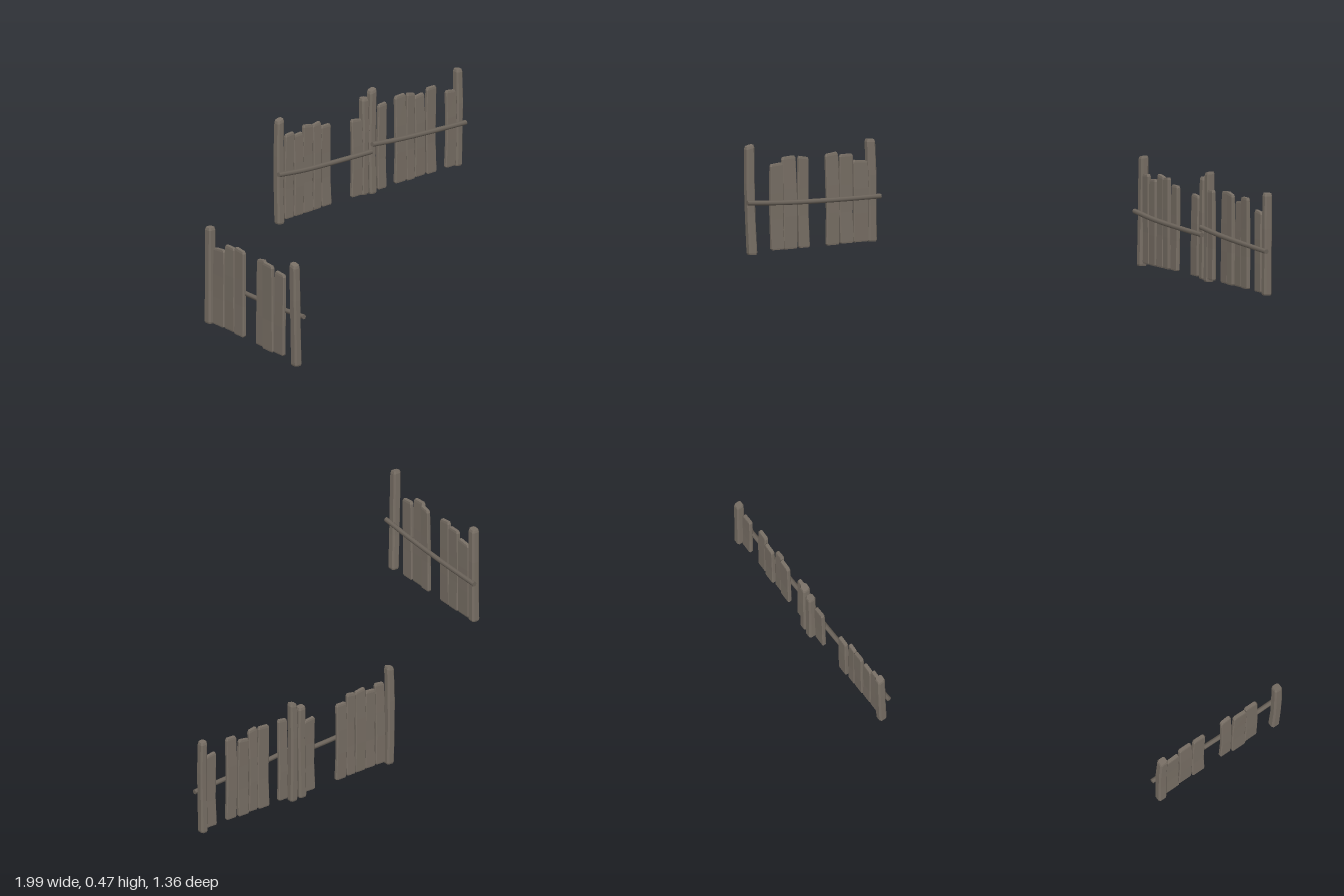
import * as THREE from 'three';

const wood = new THREE.MeshStandardMaterial({ color: 0x786f65 });
wood.name = 'weathered wood';
const railWood = new THREE.MeshStandardMaterial({ color: 0x6c645b });
railWood.name = 'rail wood';

// Upright timber with softened corners, worn ends and a slight warp.
// Spans a..b along the fence and y0..y1 in height; lean = [along, depth] shift at the top.
function timber(name, [a, b, y0, y1, depth, lean = [0, 0]], thick, seed) {
  const w = (b - a) / 2, t = thick / 2, h = y1 - y0, c = Math.min(w, t) * 0.4;
  const outline = [[-w, -t + c], [-w + c, -t], [w - c, -t], [w, -t + c],
    [w, t - c], [w - c, t], [-w + c, t], [-w, t - c]];
  const levels = [[0, 0.9], [0.015, 1], [0.35, 0.97], [0.65, 1], [0.975, 0.96], [1, 0.8]];
  const pos = [], idx = [], n = outline.length;
  levels.forEach(([f, s], k) => {
    const bend = 0.0015 * Math.sin(seed * 2.3 + f * 5);
    outline.forEach(([x, z]) => {
      const slant = k >= 4 ? (x / w) * 0.004 * Math.sin(seed * 1.7) - 0.002 : 0;
      pos.push((a + b) / 2 + x * s + bend + lean[0] * f, y0 + h * f + slant,
        depth + z * s + bend + lean[1] * f);
    });
  });
  for (let k = 0; k < levels.length - 1; k++) {
    for (let i = 0; i < n; i++) {
      const p = k * n + i, q = k * n + (i + 1) % n;
      idx.push(p, p + n, q, q, p + n, q + n);
    }
  }
  const last = (levels.length - 1) * n;
  for (let i = 1; i < n - 1; i++) {
    idx.push(0, i, i + 1, last, last + i + 1, last + i);
  }
  let g = new THREE.BufferGeometry();
  g.setAttribute('position', new THREE.Float32BufferAttribute(pos, 3));
  g.setIndex(idx);
  g = g.toNonIndexed();
  g.computeVertexNormals();
  const mesh = new THREE.Mesh(g, wood);
  mesh.name = name;
  return mesh;
}

// Thin crooked pole through the given points
function rail(points) {
  const curve = new THREE.CatmullRomCurve3(points.map(p => new THREE.Vector3(...p)));
  const group = new THREE.Group();
  group.name = 'rail';
  const radius = 0.0105;
  const pole = new THREE.Mesh(new THREE.TubeGeometry(curve, 12, radius, 7), railWood);
  pole.name = 'railPole';
  group.add(pole);
  // End caps
  [0, 1].forEach(t => {
    const cap = new THREE.Mesh(new THREE.CircleGeometry(radius, 7), railWood);
    cap.name = 'railEnd';
    cap.position.copy(curve.getPoint(t));
    const dir = curve.getTangent(t).multiplyScalar(t ? 1 : -1);
    cap.quaternion.setFromUnitVectors(new THREE.Vector3(0, 0, 1), dir);
    group.add(cap);
  });
  return group;
}

function fence(name, posts, planks, railPoints) {
  const group = new THREE.Group();
  group.name = name;
  posts.forEach((p, i) => group.add(timber('post', p, 0.036, i + 1)));
  planks.forEach((p, i) => group.add(timber('plank', p, 0.018, i * 1.3 + 4)));
  group.add(rail(railPoints));
  return group;
}

export function createModel() {
  const model = new THREE.Group();
  model.name = 'brokenFence';

  // Back run, first section
  model.add(fence('backFenceInner', [
    [-0.016, 0.02, 0.0, 0.457, -0.64, [0.003, -0.006]],
    [0.449, 0.485, 0.005, 0.43, -0.66, [0.003, -0.002]],
  ], [
    [0.025, 0.073, 0.013, 0.388, -0.637, [0, 0.002]],
    [0.075, 0.126, 0.013, 0.373, -0.637],
    [0.126, 0.179, 0.013, 0.396, -0.641, [0.002, -0.004]],
    [0.18, 0.224, 0.013, 0.393, -0.641],
    [0.229, 0.281, 0.013, 0.368, -0.648, [0, -0.004]],
    [0.39, 0.447, 0.013, 0.35, -0.647, [0.003, -0.004]],
  ], [[-0.02, 0.225, -0.617], [0.12, 0.209, -0.623], [0.28, 0.199, -0.631], [0.49, 0.192, -0.637]]));

  // Back run, second section
  model.add(fence('backFenceOuter', [
    [0.489, 0.525, 0.0, 0.457, -0.659, [0.003, -0.003]],
    [0.952, 0.985, 0.005, 0.43, -0.661, [0.002, -0.003]],
  ], [
    [0.528, 0.574, 0.013, 0.388, -0.647],
    [0.625, 0.682, 0.013, 0.396, -0.652, [0.004, -0.003]],
    [0.682, 0.726, 0.013, 0.395, -0.649],
    [0.732, 0.786, 0.013, 0.37, -0.655, [0.002, -0.004]],
    [0.79, 0.842, 0.013, 0.393, -0.652],
    [0.895, 0.949, 0.013, 0.35, -0.653, [0.002, 0]],
  ], [[0.49, 0.225, -0.632], [0.62, 0.211, -0.636], [0.79, 0.2, -0.639], [0.997, 0.19, -0.644]]));

  // Side run, turned so that its rail faces +x
  const side = fence('sideFence', [
    [-0.668, -0.629, 0.018, 0.471, -0.966, [-0.006, -0.014]],
    [-0.1, -0.06, 0.03, 0.456, -0.957, [-0.007, -0.005]],
  ], [
    [-0.562, -0.5, 0.03, 0.39, -0.957, [-0.007, -0.002]],
    [-0.501, -0.434, 0.028, 0.413, -0.962, [-0.003, -0.006]],
    [-0.432, -0.381, 0.03, 0.41, -0.955, [-0.006, 0]],
    [-0.3, -0.239, 0.03, 0.413, -0.953, [-0.004, -0.002]],
    [-0.238, -0.174, 0.033, 0.404, -0.951, [-0.003, -0.002]],
    [-0.173, -0.1, 0.033, 0.373, -0.952, [-0.002, 0]],
  ], [[-0.679, 0.236, -0.95], [-0.5, 0.224, -0.947], [-0.28, 0.218, -0.942], [-0.05, 0.217, -0.938]]);
  side.rotation.y = Math.PI / 2;
  model.add(side);

  return model;
}
